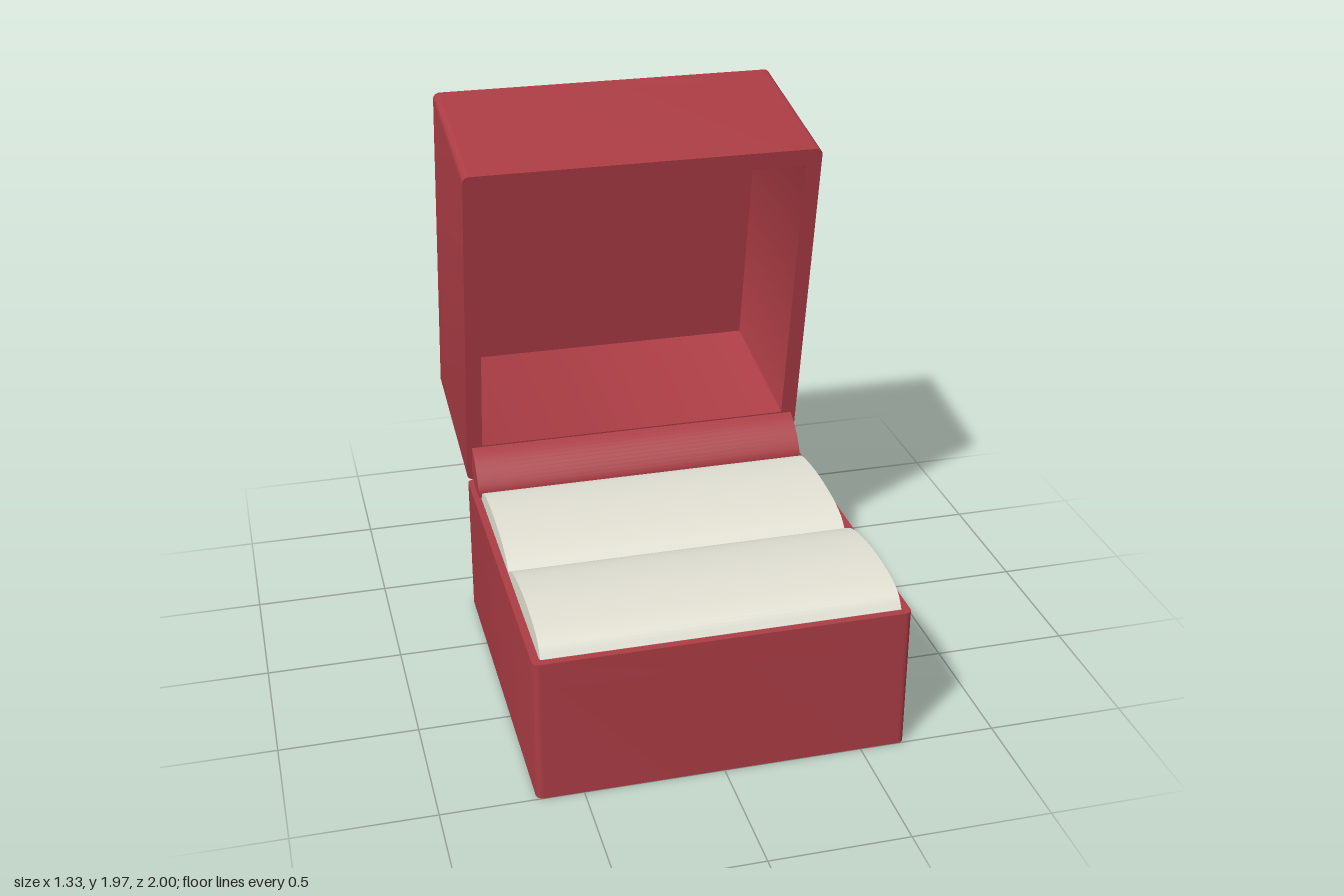
import * as THREE from 'three';
import { toCreasedNormals } from 'three/addons/utils/BufferGeometryUtils.js';

// Rectangle with rounded corners, from (x0, y0) to (x1, y1)
function roundedRect(x0, y0, x1, y1, r) {
  const s = new THREE.Shape();
  s.absarc(x1 - r, y0 + r, r, -Math.PI / 2, 0);
  s.absarc(x1 - r, y1 - r, r, 0, Math.PI / 2);
  s.absarc(x0 + r, y1 - r, r, Math.PI / 2, Math.PI);
  s.absarc(x0 + r, y0 + r, r, Math.PI, Math.PI * 1.5);
  s.closePath();
  return s;
}

function extrude(shape, depth) {
  const g = new THREE.ExtrudeGeometry(shape, { depth, bevelEnabled: false, curveSegments: 6 });
  return toCreasedNormals(g, 0.6);
}

// Extrudes a side profile of [z, y] points across x, centred
function acrossX(shape, width) {
  return extrude(shape, width).translate(0, 0, -width / 2).rotateY(-Math.PI / 2);
}

const vectors = (points) => points.map(([z, y]) => new THREE.Vector2(z, y));

export function createModel() {
  const red = new THREE.MeshStandardMaterial({ color: 0xaa3c44 });
  red.name = 'red leatherette';
  const ivory = new THREE.MeshStandardMaterial({ color: 0xe0dfd2 });
  ivory.name = 'ivory cushion';

  const model = new THREE.Group();
  model.name = 'ringBox';
  const add = (parent, name, geometry, material) => {
    const mesh = new THREE.Mesh(geometry, material);
    mesh.name = name;
    parent.add(mesh);
    return mesh;
  };

  const W = 0.665, R = 0.025;

  // Base: solid lower block and a rim around the cushion well
  const base = new THREE.Group();
  base.name = 'base';
  model.add(base);
  const outline = () => roundedRect(-W, -1, W, 0.335, R);
  add(base, 'baseBlock', extrude(outline(), 0.44).rotateX(-Math.PI / 2), red);
  const rim = outline();
  rim.holes.push(roundedRect(-0.637, -0.972, 0.637, 0.19, 0.01));
  add(base, 'baseRim', extrude(rim, 0.1).rotateX(-Math.PI / 2).translate(0, 0.44, 0), red);

  // Two padded rolls, side by side
  const rolls = {
    frontCushion: [[0.97, 0.54], [0.93, 0.584], [0.85, 0.607], [0.7, 0.615], [0.55, 0.601], [0.45, 0.575], [0.385, 0.537]],
    backCushion: [[0.385, 0.537], [0.33, 0.573], [0.22, 0.597], [0.05, 0.605], [-0.1, 0.592], [-0.16, 0.568], [-0.187, 0.54]],
  };
  for (const [name, points] of Object.entries(rolls)) {
    const s = new THREE.Shape();
    s.moveTo(points[0][0], 0.44);
    s.lineTo(...points[0]);
    s.setFromPoints([
      new THREE.Vector2(points[0][0], 0.44),
      ...new THREE.SplineCurve(vectors(points)).getPoints(30),
      new THREE.Vector2(points[6][0], 0.44),
    ]);
    add(model, name, acrossX(s, 1.268), ivory);
  }

  // Curved padded hinge joining base and lid
  const outer = new THREE.SplineCurve(vectors([[-0.18, 0.54], [-0.185, 0.575], [-0.22, 0.625], [-0.27, 0.668], [-0.325, 0.695]])).getPoints(16);
  const inner = new THREE.SplineCurve(vectors([[-0.34, 0.58], [-0.31, 0.565], [-0.28, 0.535]])).getPoints(8);
  add(model, 'hinge', acrossX(new THREE.Shape([...outer, ...inner]), 1.29), red);

  // Lid, tilted back about the rear edge of the base
  const lid = new THREE.Group();
  lid.name = 'lid';
  lid.position.set(0, 0.54, -0.338);
  lid.rotation.x = THREE.MathUtils.degToRad(10);
  model.add(lid);
  const frame = roundedRect(-W, 0, W, 1.335, R);
  frame.holes.push(roundedRect(-0.605, 0.157, 0.605, 1.27, 0.002));
  add(lid, 'lidWalls', extrude(frame, 0.6).translate(0, 0, -0.6), red);
  add(lid, 'lidPanel', extrude(roundedRect(-W, 0, W, 1.335, R), 0.07).translate(0, 0, -0.67), red);

  return model;
}
